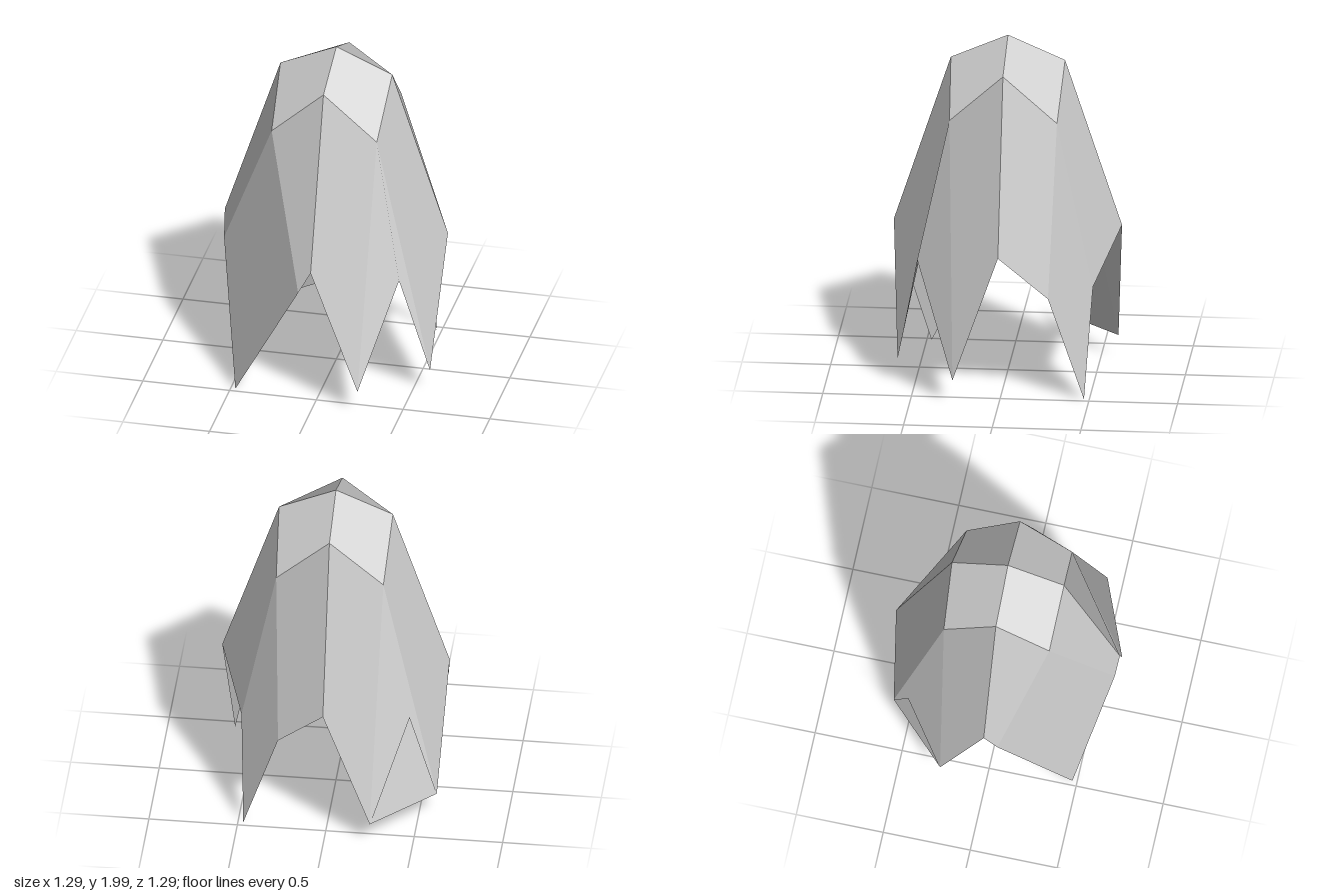
import * as THREE from 'three';

const material = new THREE.MeshStandardMaterial({ color: 0xcccccc, side: THREE.DoubleSide });

// Four-sided panels, each split along its first-to-third diagonal and shaded with one flat normal
function panelMesh(name, quads) {
  const positions = [], normals = [];
  for (const [a, b, c, d] of quads) {
    const n = c.clone().sub(a).cross(d.clone().sub(b)).normalize();
    for (const p of [a, b, c, a, c, d]) {
      positions.push(p.x, p.y, p.z);
      normals.push(n.x, n.y, n.z);
    }
  }
  const geometry = new THREE.BufferGeometry();
  geometry.setAttribute('position', new THREE.Float32BufferAttribute(positions, 3));
  geometry.setAttribute('normal', new THREE.Float32BufferAttribute(normals, 3));
  const mesh = new THREE.Mesh(geometry, material);
  mesh.name = name;
  return mesh;
}

// hem: [x, y, z] of the hem point beside the front/back seam (mirrored for the side seam)
// corner: [x and z, y] of the hem point under the shoulder
const quarters = [
  { name: 'frontLeft', sx: 1, sz: 1, hem: [0.26, 0.145, 0.6], corner: [0.47, 0.81], fold: false },
  { name: 'frontRight', sx: -1, sz: 1, hem: [0.075, 0.75, 0.63], corner: [0.473, 0.01], fold: true },
  { name: 'backLeft', sx: 1, sz: -1, hem: [0.27, 0.61, 0.503], corner: [0.47, 0.01], fold: true },
  { name: 'backRight', sx: -1, sz: -1, hem: [0.26, 0.145, 0.6], corner: [0.47, 0.81], fold: true },
];

export function createModel() {
  const model = new THREE.Group();
  model.name = 'raggedHood';

  for (const { name, sx, sz, hem: [hx, hy, hz], corner: [c, cy], fold } of quarters) {
    const v = (x, y, z) => new THREE.Vector3(x * sx, y, z * sz);
    const apex = v(0, 2, 0);
    const topZ = v(0, 1.86, 0.322), topX = v(0.322, 1.86, 0);
    const shoulder = v(0.303, 1.585, 0.303);
    const seamZ = v(0, 0.89, 0.643), seamX = v(0.643, 0.89, 0);
    const hemZ = v(hx, hy, hz), hemX = v(hz, hy, hx);
    const tip = v(c, cy, c);

    // Mirrored quarters need the corner order turned round
    const wind = ([p, q, r, s]) => (sx * sz > 0 ? [p, q, r, s] : [p, s, r, q]);

    const quarter = new THREE.Group();
    quarter.name = name + 'Quarter';
    quarter.add(
      panelMesh('crownPanel', [wind([topZ, shoulder, topX, apex])]),
      panelMesh('skirtPanels', [
        wind([seamZ, hemZ, shoulder, topZ]),
        wind([shoulder, hemX, seamX, topX]),
      ]),
      panelMesh('cornerFlap', [
        wind(fold ? [hemZ, tip, hemX, shoulder] : [shoulder, hemZ, tip, hemX]),
      ]),
    );
    model.add(quarter);
  }
  return model;
}
